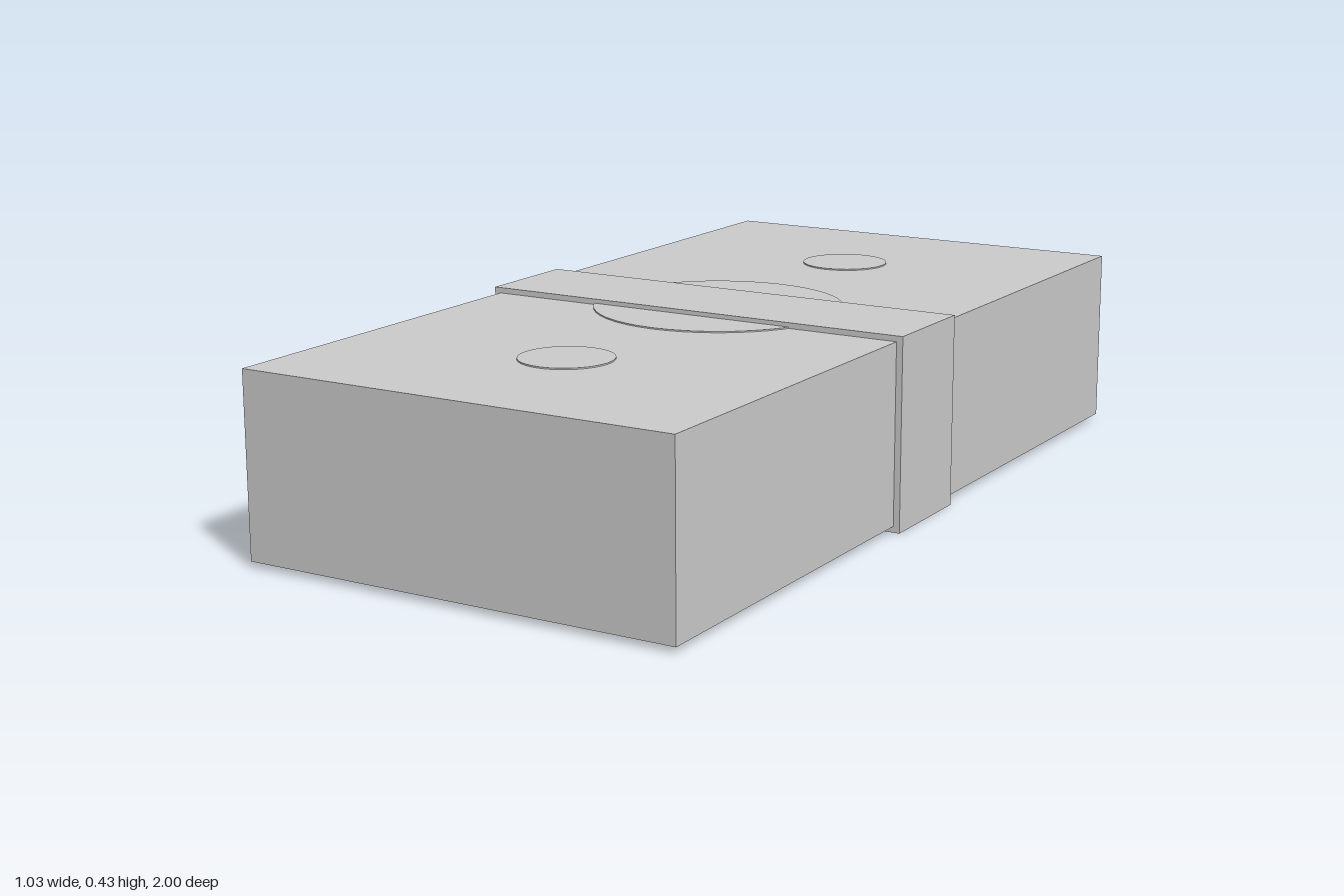
import * as THREE from 'three';

export function createModel() {
  const group = new THREE.Group();
  const material = new THREE.MeshStandardMaterial({ color: 0xcccccc });
  const boxTop = 0.4125;

  function add(name, geometry, x, y, z) {
    const mesh = new THREE.Mesh(geometry, material);
    mesh.name = name;
    mesh.position.set(x, y, z);
    group.add(mesh);
  }

  // Main block, raised slightly by the band wrapped around it
  add('boxBody', new THREE.BoxGeometry(1.004, 0.399, 2), 0, boxTop - 0.1995, 0);

  // Band around the middle
  add('band', new THREE.BoxGeometry(1.033, 0.425, 0.25), 0, 0.2125, 0);

  // Thin round labels on the top face: one large under the band, two small
  const discs = [
    ['centreDisc', 0.277, 0],
    ['frontDisc', 0.1, 0.6],
    ['backDisc', 0.1, -0.6],
  ];
  for (const [name, radius, z] of discs) {
    add(name, new THREE.CylinderGeometry(radius, radius, 0.006, 48), 0, boxTop, z);
  }

  return group;
}
